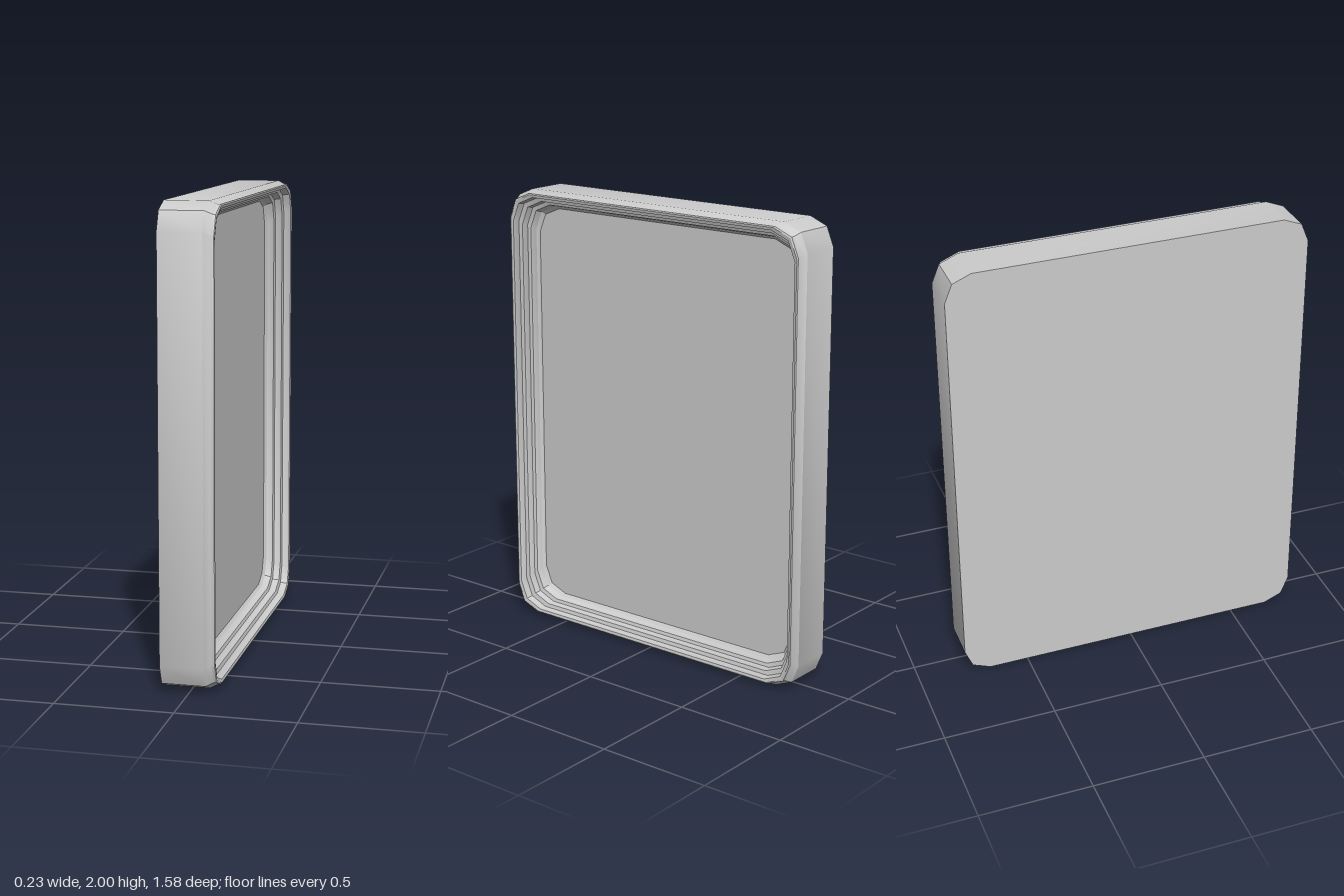
import * as THREE from 'three';
import { toCreasedNormals } from 'three/addons/utils/BufferGeometryUtils.js';

const HALF_W = 0.79, HALF_H = 1, CORNER = 0.115, MID_Y = 1;

// Rounded rectangle outline (two segments per corner), shrunk by an inset
function outline(inset) {
  const points = [];
  const w = HALF_W - inset - CORNER, h = HALF_H - inset - CORNER;
  [[1, 1], [-1, 1], [-1, -1], [1, -1]].forEach(([sx, sy], corner) => {
    for (let k = 0; k <= 2; k++) {
      const a = (corner + k / 2) * Math.PI / 2;
      points.push(new THREE.Vector2(sx * w + CORNER * Math.cos(a), sy * h + CORNER * Math.sin(a)));
    }
  });
  return points;
}

// Skin a profile of [x, inset] pairs around the outline
function band(profile) {
  const rings = profile.map(([x, inset]) =>
    outline(inset).map(p => new THREE.Vector3(x, p.y + MID_Y, p.x)));
  const points = [];
  for (let i = 0; i < rings.length - 1; i++) {
    const n = rings[i].length;
    for (let j = 0; j < n; j++) {
      const k = (j + 1) % n;
      const a = rings[i][j], b = rings[i][k], c = rings[i + 1][k], d = rings[i + 1][j];
      points.push(a, d, b, b, d, c);
    }
  }
  return toCreasedNormals(new THREE.BufferGeometry().setFromPoints(points), 0.42);
}

// Flat panel closing the outline, facing +x (side 1) or -x (side -1)
function panel(x, inset, side) {
  return new THREE.ShapeGeometry(new THREE.Shape(outline(inset)))
    .rotateY(side * Math.PI / 2).translate(x, MID_Y, 0);
}

export function createModel() {
  const group = new THREE.Group();
  const material = new THREE.MeshStandardMaterial({ color: 0xcccccc });
  const add = (name, geometry) => {
    const mesh = new THREE.Mesh(geometry, material);
    mesh.name = name;
    group.add(mesh);
  };

  // Outer wall with its bevelled shoulder
  add('outerWall', band([[-0.115, 0], [0.07, 0], [0.1, 0.014], [0.112, 0.015]]));
  // Narrow rim, then the stepped inner wall down to the floor
  add('steppedInnerWall', band([
    [0.112, 0.015], [0.115, 0.02], [0.112, 0.032], [0.08, 0.036],
    [0.075, 0.052], [0.045, 0.056], [0.04, 0.07], [0.012, 0.078], [0, 0.09],
  ]));
  add('floorPanel', panel(0, 0.09, 1));
  add('backPanel', panel(-0.115, 0, -1));
  return group;
}
